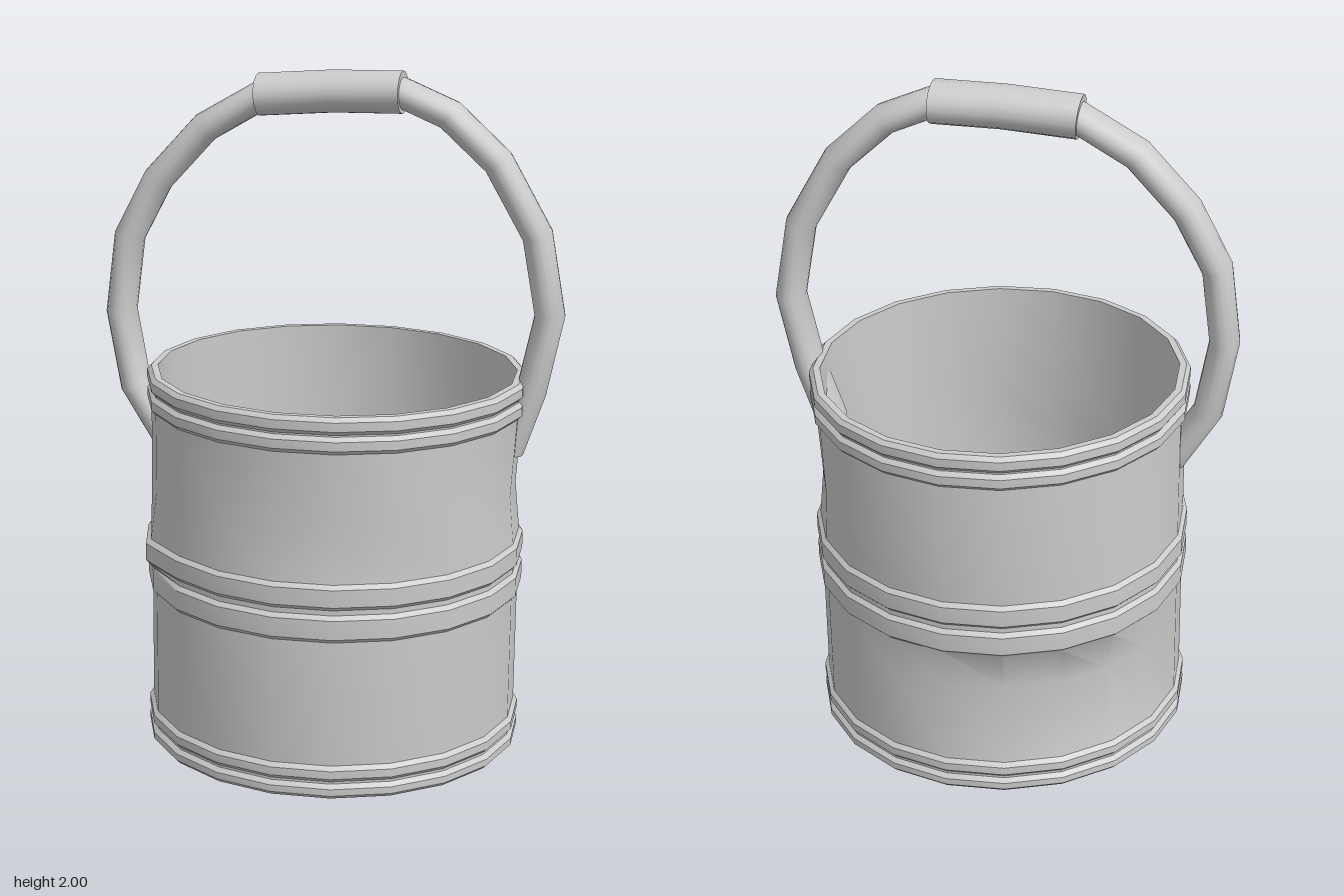
import * as THREE from 'three';
import { toCreasedNormals } from 'three/addons/utils/BufferGeometryUtils.js';

const SIDES = 20;
const DEG = Math.PI / 180;
const material = new THREE.MeshStandardMaterial({ color: 0xcccccc });

function mesh(name, geometry, crease = 0.55) {
  const m = new THREE.Mesh(toCreasedNormals(geometry, crease), material);
  m.name = name;
  return m;
}

// Dents (negative) and bulges (positive): angle from +z, height, spreads, depth
const dents = [
  { angle: 205, y: 0.34, spread: 55, height: 0.12, depth: -0.04 },
  { angle: 95, y: 0.78, spread: 40, height: 0.12, depth: -0.015 },
  { angle: -5, y: 0.78, spread: 40, height: 0.12, depth: -0.018 },
  { angle: -59, y: 0.60, spread: 16, height: 0.06, depth: 0.02 },
];

function applyDents(geometry) {
  const p = geometry.attributes.position;
  for (let i = 0; i < p.count; i++) {
    const x = p.getX(i), y = p.getY(i), z = p.getZ(i);
    const r = Math.hypot(x, z);
    if (r < 0.4) continue;
    const a = Math.atan2(x, z) / DEG;
    let offset = 0;
    for (const d of dents) {
      const da = Math.abs(((a - d.angle + 540) % 360 + 360) % 360 - 180) / d.spread;
      const dy = Math.abs(y - d.y) / d.height;
      if (da < 1 && dy < 1) offset += d.depth * (1 - da * da) * (dy < 0.6 ? 1 : (1 - dy) / 0.4);
    }
    const s = (r + offset) / r;
    p.setX(i, x * s);
    p.setZ(i, z * s);
  }
}

// Closed shell: outer wall with three pairs of hoops, rim, inner wall and floor
function bucketGeometry() {
  const hoop = (y0, y1) => [[0.545, y0], [0.557, y0 + 0.012], [0.557, y1 - 0.012], [0.545, y1]];
  const profile = [
    [0, 0], [0.535, 0],
    ...hoop(0.001, 0.045), ...hoop(0.052, 0.1),
    [0.545, 0.34],
    ...hoop(0.47, 0.55), ...hoop(0.565, 0.64),
    [0.545, 0.78],
    ...hoop(1.015, 1.065), ...hoop(1.07, 1.12),
    [0.525, 1.12], [0.525, 0.78], [0.525, 0.64], [0.525, 0.47], [0.525, 0.34],
    [0.525, 0.1], [0.525, 0.04], [0, 0.04],
  ].map(([r, y]) => new THREE.Vector2(r, y));
  const g = new THREE.LatheGeometry(profile, SIDES, -5 * DEG);
  applyDents(g);
  return g;
}

// Capped elliptical sweep along a path in x and y, with z drifting along x
function sweep(path, rn, rz, sides = 16) {
  const pos = [], index = [];
  const zAt = (x) => -0.005 - 0.04 * x;
  path.forEach(([x, y], i) => {
    const a = path[Math.max(i - 1, 0)], b = path[Math.min(i + 1, path.length - 1)];
    const l = Math.hypot(b[0] - a[0], b[1] - a[1]);
    const nx = -(b[1] - a[1]) / l, ny = (b[0] - a[0]) / l;
    for (let j = 0; j < sides; j++) {
      const t = (j / sides) * Math.PI * 2, c = Math.cos(t) * rn;
      pos.push(x + nx * c, y + ny * c, zAt(x) + Math.sin(t) * rz);
    }
  });
  for (let i = 0; i < path.length - 1; i++) {
    for (let j = 0; j < sides; j++) {
      const k = (j + 1) % sides;
      const a = i * sides + j, b = i * sides + k, c = a + sides, d = b + sides;
      index.push(a, b, c, b, d, c);
    }
  }
  const last = (path.length - 1) * sides;
  for (let j = 1; j < sides - 1; j++) {
    index.push(0, j + 1, j, last, last + j, last + j + 1);
  }
  const g = new THREE.BufferGeometry();
  g.setAttribute('position', new THREE.Float32BufferAttribute(pos, 3));
  g.setIndex(index);
  g.computeVertexNormals();
  return g;
}

export function createModel() {
  const model = new THREE.Group();
  model.name = 'bucket';

  // Slightly leaning bucket
  const body = mesh('bucketBody', bucketGeometry());
  body.rotation.z = -0.012;
  body.position.set(0, 0.012, 0);
  model.add(body);

  // Bent carrying handle
  const handlePath = [
    [-0.5, 0.885], [-0.6, 1.05], [-0.638, 1.275], [-0.608, 1.5], [-0.518, 1.67],
    [-0.375, 1.825], [-0.21, 1.92], [0, 1.937], [0.2, 1.938], [0.335, 1.88],
    [0.475, 1.75], [0.59, 1.545], [0.63, 1.315], [0.582, 1.09], [0.52, 0.91],
  ];
  model.add(mesh('handle', sweep(handlePath, 0.044, 0.06)));

  // Thicker sleeve at the top of the handle
  const gripPath = [[-0.215, 1.923], [0, 1.938], [0.2, 1.94]];
  model.add(mesh('grip', sweep(gripPath, 0.061, 0.075)));

  return model;
}
